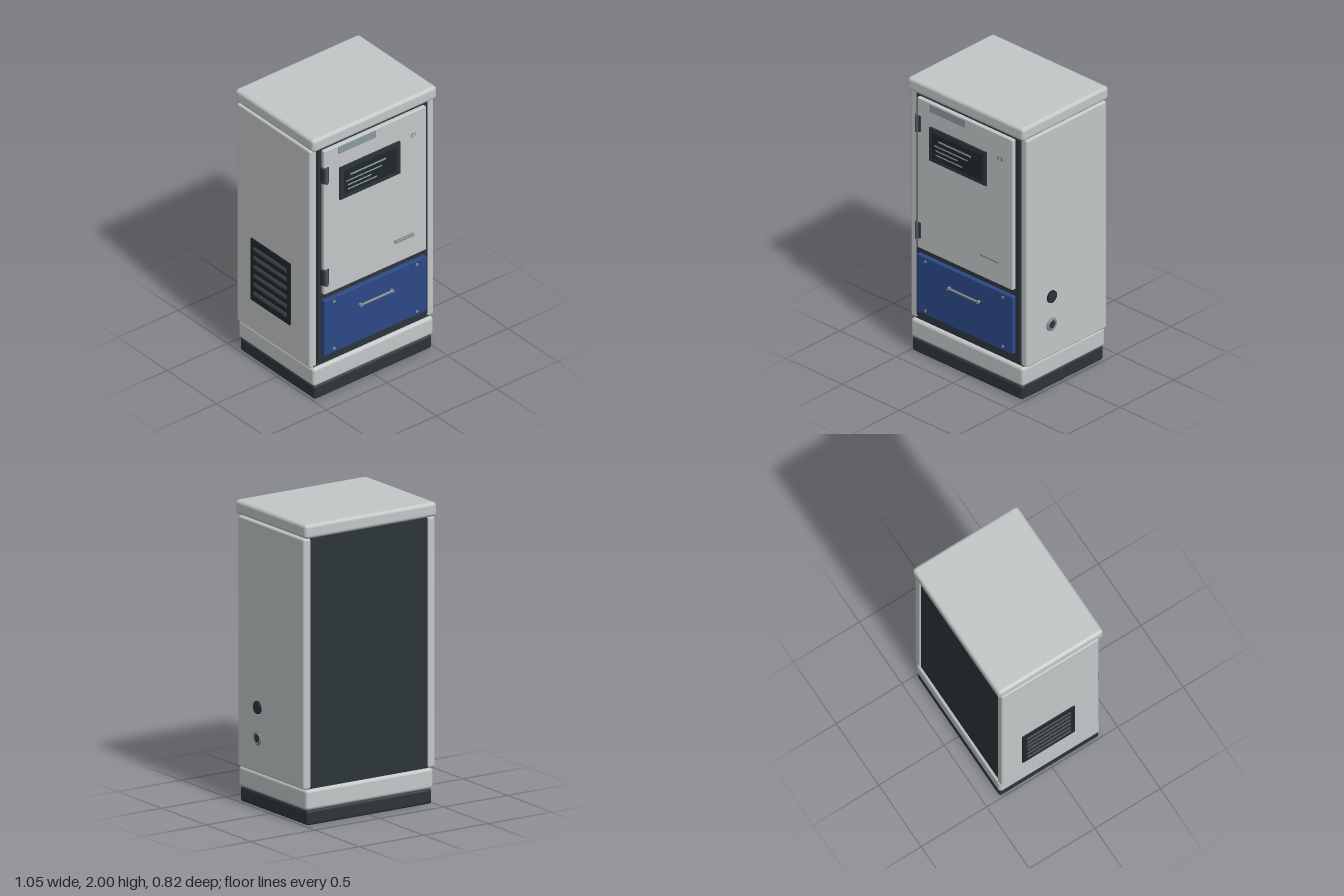
import * as THREE from 'three';
import { RoundedBoxGeometry } from 'three/addons/geometries/RoundedBoxGeometry.js';

const paint = (name, color) => {
  const m = new THREE.MeshStandardMaterial({ color });
  m.name = name;
  return m;
};

export function createModel() {
  const model = new THREE.Group();
  model.name = 'cabinet';

  const shell = paint('light grey shell', 0xc3c7c7);
  const dark = paint('dark slate', 0x2c353a);
  const black = paint('near black', 0x20272b);
  const blue = paint('blue drawer', 0x2c4888);
  const steel = paint('steel', 0x858a8b);
  const plate = paint('blue grey plate', 0x8a999e);
  const slatGrey = paint('slat grey', 0x4c5558);

  const add = (name, geometry, material, x = 0, y = 0, z = 0, parent = model) => {
    const mesh = new THREE.Mesh(geometry, material);
    mesh.name = name;
    mesh.position.set(x, y, z);
    parent.add(mesh);
    return mesh;
  };
  // Box given by its limits; a radius rounds the edges
  const block = (name, material, [x0, x1], [y0, y1], [z0, z1], r = 0) => {
    const size = [x1 - x0, y1 - y0, z1 - z0];
    const g = r ? new RoundedBoxGeometry(...size, 3, r) : new THREE.BoxGeometry(...size);
    return add(name, g, material, (x0 + x1) / 2, (y0 + y1) / 2, (z0 + z1) / 2);
  };
  const rod = (name, material, r, length, x, y, z, axis) => {
    const g = new THREE.CylinderGeometry(r, r, length, 16);
    if (axis === 'x') g.rotateZ(-Math.PI / 2);
    if (axis === 'z') g.rotateX(Math.PI / 2);
    return add(name, g, material, x, y, z);
  };

  // Plinth, base, core and top
  block('plinth', dark, [-0.487, 0.484], [0, 0.1], [-0.392, 0.366], 0.016);
  block('base', shell, [-0.497, 0.494], [0.1, 0.237], [-0.398, 0.37], 0.022);
  block('core', dark, [-0.48, 0.477], [0.22, 1.92], [-0.376, 0.345]);
  block('topCap', shell, [-0.514, 0.512], [1.905, 2], [-0.414, 0.386], 0.024);
  block('backPanel', dark, [-0.457, 0.454], [0.245, 1.9], [-0.383, -0.37]);

  // Side walls
  block('rightWall', shell, [-0.514, -0.457], [0.24, 1.902], [-0.392, 0.35], 0.014);
  block('leftWall', shell, [0.454, 0.512], [0.24, 1.902], [-0.392, 0.35], 0.014);

  // Dark surround behind the door and drawer
  block('frontFrame', dark, [-0.455, 0.452], [0.27, 1.893], [0.34, 0.358]);

  // Door with label, tag and handle
  block('door', shell, [-0.426, 0.419], [0.787, 1.886], [0.355, 0.387], 0.008);
  block('labelPlate', plate, [-0.31, 0.001], [1.822, 1.874], [0.384, 0.39]);
  block('tagFrame', slatGrey, [0.29, 0.329], [1.699, 1.722], [0.384, 0.389]);
  block('tag', shell, [0.294, 0.325], [1.703, 1.718], [0.384, 0.391]);
  block('doorHandleMount', steel, [0.17, 0.29], [0.954, 0.966], [0.384, 0.396]);
  rod('doorHandle', steel, 0.009, 0.134, 0.228, 0.96, 0.4, 'x');
  for (const x of [0.16, 0.296])
    add('doorHandleEnd', new THREE.SphereGeometry(0.0125, 14, 10), steel, x, 0.96, 0.397);

  // Display with thin bars
  block('displayBezel', dark, [-0.304, 0.194], [1.472, 1.716], [0.384, 0.4]);
  block('displayScreen', black, [-0.274, 0.164], [1.502, 1.686], [0.395, 0.403]);
  const bars = [[-0.222, 0.068, 1.64], [-0.255, 0.038, 1.6], [-0.243, -0.05, 1.567], [-0.243, -0.006, 1.535]];
  bars.forEach(([x0, x1, y], i) => {
    const h = i ? 0.004 : 0.006;
    block('displayBar', plate, [x0, x1], [y - h, y + h], [0.4, 0.406]);
  });

  // Hinges
  for (const y of [0.92, 1.7]) {
    block('hingeLeaf', dark, [-0.438, -0.39], [y - 0.058, y + 0.058], [0.356, 0.395], 0.004);
    rod('hingePin', slatGrey, 0.011, 0.118, -0.415, y, 0.398, 'y');
  }

  // Drawer with pull and corner screws
  block('drawer', blue, [-0.426, 0.419], [0.322, 0.738], [0.355, 0.389], 0.004);
  rod('drawerPull', steel, 0.008, 0.256, -0.002, 0.6, 0.402, 'x');
  for (const x of [-0.132, 0.128])
    rod('drawerPullPost', steel, 0.011, 0.024, x, 0.6, 0.398, 'z');
  for (const x of [-0.346, 0.337]) for (const y of [0.351, 0.711])
    rod('drawerScrew', steel, 0.01, 0.008, x, y, 0.391, 'z');

  // Cable glands on the left wall
  rod('darkGland', black, 0.043, 0.014, 0.515, 0.677, 0.124, 'x');
  rod('darkGlandCap', dark, 0.036, 0.008, 0.521, 0.677, 0.124, 'x');
  rod('steelGland', steel, 0.046, 0.01, 0.513, 0.473, 0.124, 'x');
  const ring = add('glandRing', new THREE.TorusGeometry(0.034, 0.008, 10, 32), steel, 0.517, 0.473, 0.124);
  ring.rotation.y = Math.PI / 2;
  rod('glandCentre', dark, 0.027, 0.008, 0.518, 0.473, 0.124, 'x');

  // Louvred vent on the right wall
  block('ventPlate', black, [-0.523, -0.51], [0.48, 0.95], [-0.238, 0.158]);
  for (let i = 0; i < 6; i++) {
    const y = 0.545 + i * 0.068;
    block('ventSlat', slatGrey, [-0.528, -0.52], [y - 0.013, y + 0.013], [-0.205, 0.125]);
  }

  return model;
}
